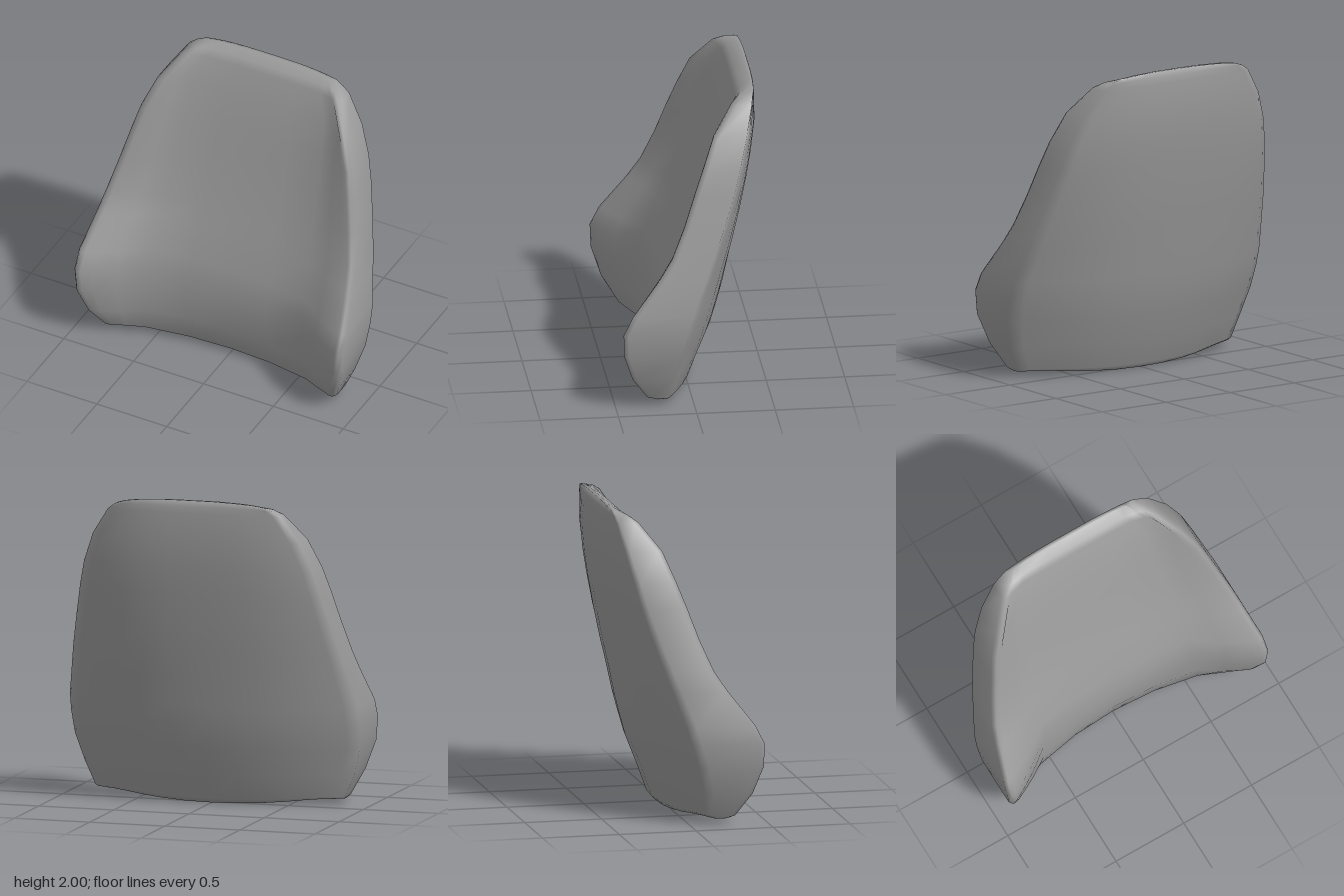
import * as THREE from 'three';

// Cross-sections from bottom to top:
// [height, edge lift, half width, front centre z, bolster z, side crease z, back centre z]
const SECTIONS = [
  [0.00, 0.035, 0.82, 0.08, 0.255, 0.17, -0.03],
  [0.03, 0.02, 0.832, 0.13, 0.295, 0.152, -0.06],
  [0.20, 0, 0.897, 0.163, 0.395, 0.14, -0.12],
  [0.38, 0, 0.95, 0.172, 0.455, 0.10, -0.19],
  [0.53, 0, 0.96, 0.155, 0.46, 0.052, -0.23],
  [0.65, 0, 0.957, 0.125, 0.40, 0.015, -0.26],
  [0.87, 0, 0.915, 0.05, 0.23, -0.07, -0.305],
  [1.00, 0, 0.89, 0.00, 0.145, -0.12, -0.335],
  [1.20, 0, 0.845, -0.07, 0.06, -0.195, -0.375],
  [1.40, 0, 0.80, -0.135, -0.01, -0.262, -0.41],
  [1.56, 0, 0.76, -0.185, -0.07, -0.305, -0.435],
  [1.75, 0, 0.685, -0.25, -0.145, -0.355, -0.456],
  [1.92, 0, 0.57, -0.32, -0.275, -0.40, -0.45],
  [1.965, -0.01, 0.52, -0.35, -0.33, -0.41, -0.445],
  [2.00, -0.025, 0.465, -0.41, -0.405, -0.424, -0.434],
];
const HALF = 7; // columns on each side of the centre line
const BACK_X = [0, 0.22, 0.42, 0.58, 0.72, 0.83, 0.92, 1];
// Share of the bolster's rise at each front column, on the body and at the hem
const FRONT_Z = [0, 0.02, 0.14, 0.57, 0.85, 0.96, 1];
const HEM_Z = [0, 0.12, 0.5, 0.76, 0.92, 0.99, 1];

function sectionLoop([y, lift, w, front, bolster, crease, back]) {
  const inner = Math.min(0.46 + 0.12 * (1 - y / 2), 0.72 * w);
  const frontX = [0, inner * 0.5, inner, inner + 0.4 * (w - inner),
    inner + 0.72 * (w - inner), w - 0.05, w - 0.02, w];
  const hem = Math.max(0, 1 - y / 0.3);
  // The bottom edge rises and levels off; the top edge falls near its corners
  const raise = (x) => y + lift * (lift > 0 ? Math.min(1, x / 0.64) ** 2 : (x / w) ** 3.5);
  const loop = [];
  // Front: flat middle rising to the bolster ridge, then rounding to the side
  for (let j = -HALF; j <= HALF; j++) {
    const k = Math.abs(j), x = frontX[k];
    const z = k < HALF
      ? front + (bolster - front) * THREE.MathUtils.lerp(FRONT_Z[k], HEM_Z[k], hem)
      : bolster - Math.min(0.03, (bolster - crease) * 0.3);
    loop.push([Math.sign(j) * x, raise(x), z]);
  }
  // Back: one wrapped curve between the side creases, flatter towards the top
  for (let j = HALF; j >= -HALF; j--) {
    const s = BACK_X[Math.abs(j)];
    loop.push([Math.sign(j) * s * w, raise(s * w),
      back + (crease - back) * Math.pow(s, 2.2 + 0.45 * y)]);
  }
  return loop;
}

function cushionGeometry() {
  const loops = SECTIONS.map(sectionLoop);
  const n = loops[0].length;
  const index = [];
  const quad = (a, b, c, d) => index.push(a, b, c, a, c, d);
  // Skin between neighbouring sections
  for (let r = 0; r < loops.length - 1; r++) {
    for (let i = 0; i < n; i++) {
      const k = (i + 1) % n;
      quad(r * n + i, r * n + k, (r + 1) * n + k, (r + 1) * n + i);
    }
  }
  // Bottom and top caps join front columns to back columns
  const top = (loops.length - 1) * n;
  for (let i = 0; i < 2 * HALF; i++) {
    const b = n - 1 - i;
    quad(b, b - 1, i + 1, i);
    quad(top + i, top + i + 1, top + b - 1, top + b);
  }
  const geometry = new THREE.BufferGeometry();
  geometry.setAttribute('position', new THREE.Float32BufferAttribute(loops.flat(2), 3));
  geometry.setIndex(index);
  geometry.computeVertexNormals();
  return geometry;
}

export function createModel() {
  const group = new THREE.Group();
  group.name = 'seatBack';
  const cushion = new THREE.Mesh(cushionGeometry(),
    new THREE.MeshStandardMaterial({ color: 0x9a9a9a }));
  cushion.name = 'backrestCushion';
  group.add(cushion);
  return group;
}
